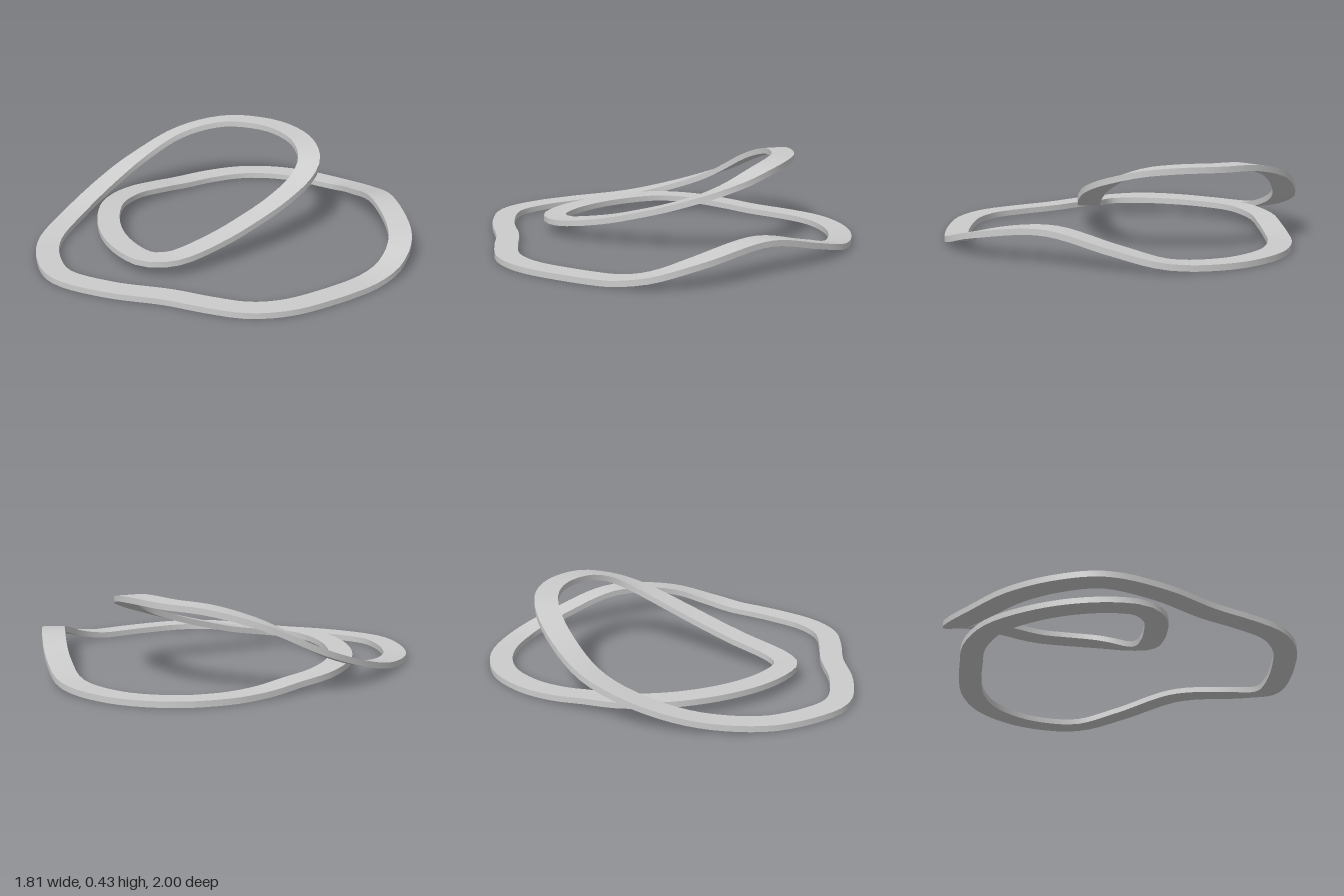
import * as THREE from 'three';

const WIDTH = 0.118, THICK = 0.03, SEGMENTS = 160;

// Centre line of the closed double loop, one [x, y, z] per bend
const PATH = [
  // outer loop: front, right, back, left
  [-0.12, 0.015, 0.94], [0.14, 0.015, 0.83], [0.38, 0.015, 0.65], [0.57, 0.015, 0.54],
  [0.72, 0.015, 0.43], [0.81, 0.015, 0.27], [0.845, 0.015, 0.03], [0.845, 0.015, -0.2],
  [0.815, 0.045, -0.39], [0.7, 0.105, -0.57], [0.37, 0.155, -0.76], [0.06, 0.085, -0.89],
  [-0.18, 0.03, -0.94], [-0.48, 0.015, -0.855], [-0.68, 0.015, -0.67], [-0.76, 0.015, -0.45],
  [-0.77, 0.022, -0.25], [-0.76, 0.04, -0.08], [-0.74, 0.055, 0.1],
  // inner loop: front, right, back
  [-0.645, 0.068, 0.29], [-0.47, 0.07, 0.44], [-0.26, 0.07, 0.54], [-0.06, 0.07, 0.573],
  [0.07, 0.07, 0.55], [0.145, 0.075, 0.45], [0.17, 0.115, 0.2], [0.172, 0.165, 0],
  [0.165, 0.225, -0.2], [0.13, 0.295, -0.39], [0.055, 0.35, -0.505], [-0.08, 0.395, -0.573],
  [-0.25, 0.413, -0.59], [-0.42, 0.413, -0.56], [-0.615, 0.4, -0.435],
  // descent on the left back to the outer loop
  [-0.77, 0.33, -0.24], [-0.845, 0.205, 0], [-0.82, 0.12, 0.22], [-0.71, 0.045, 0.5],
  [-0.52, 0.017, 0.77], [-0.31, 0.015, 0.9],
];

// One long side of the band, swept between two corners of the cross-section
function sideStrip(frames, a, b) {
  const pos = [], index = [], n = frames.length;
  frames.forEach(({ p, side, up }, i) => {
    for (const [s, u] of [a, b]) {
      const v = p.clone().addScaledVector(side, s * WIDTH / 2).addScaledVector(up, u * THICK / 2);
      pos.push(v.x, Math.max(0, v.y), v.z);
    }
    const j = (i + 1) % n;
    index.push(2 * i, 2 * j, 2 * i + 1, 2 * j, 2 * j + 1, 2 * i + 1);
  });
  const geo = new THREE.BufferGeometry();
  geo.setAttribute('position', new THREE.Float32BufferAttribute(pos, 3));
  geo.setIndex(index);
  geo.computeVertexNormals();
  return geo;
}

export function createModel() {
  const group = new THREE.Group();
  group.name = 'loopedBand';
  const material = new THREE.MeshStandardMaterial({ color: 0xcccccc });
  const curve = new THREE.CatmullRomCurve3(PATH.map((p) => new THREE.Vector3(...p)), true, 'centripetal');

  // Frames keep the band level across its width
  const frames = [];
  for (let i = 0; i < SEGMENTS; i++) {
    const p = curve.getPointAt(i / SEGMENTS);
    p.y = Math.max(p.y, THICK / 2);
    const t = curve.getTangentAt(i / SEGMENTS);
    const side = new THREE.Vector3(-t.z, 0, t.x).normalize();
    const up = side.clone().cross(t).normalize();
    frames.push({ p, side, up });
  }

  // Four sides with sharp edges between them
  const corners = [[-1, 1], [1, 1], [1, -1], [-1, -1]];
  ['bandTop', 'bandRightEdge', 'bandUnderside', 'bandLeftEdge'].forEach((name, k) => {
    const mesh = new THREE.Mesh(sideStrip(frames, corners[(k + 1) % 4], corners[k]), material);
    mesh.name = name;
    group.add(mesh);
  });
  return group;
}
